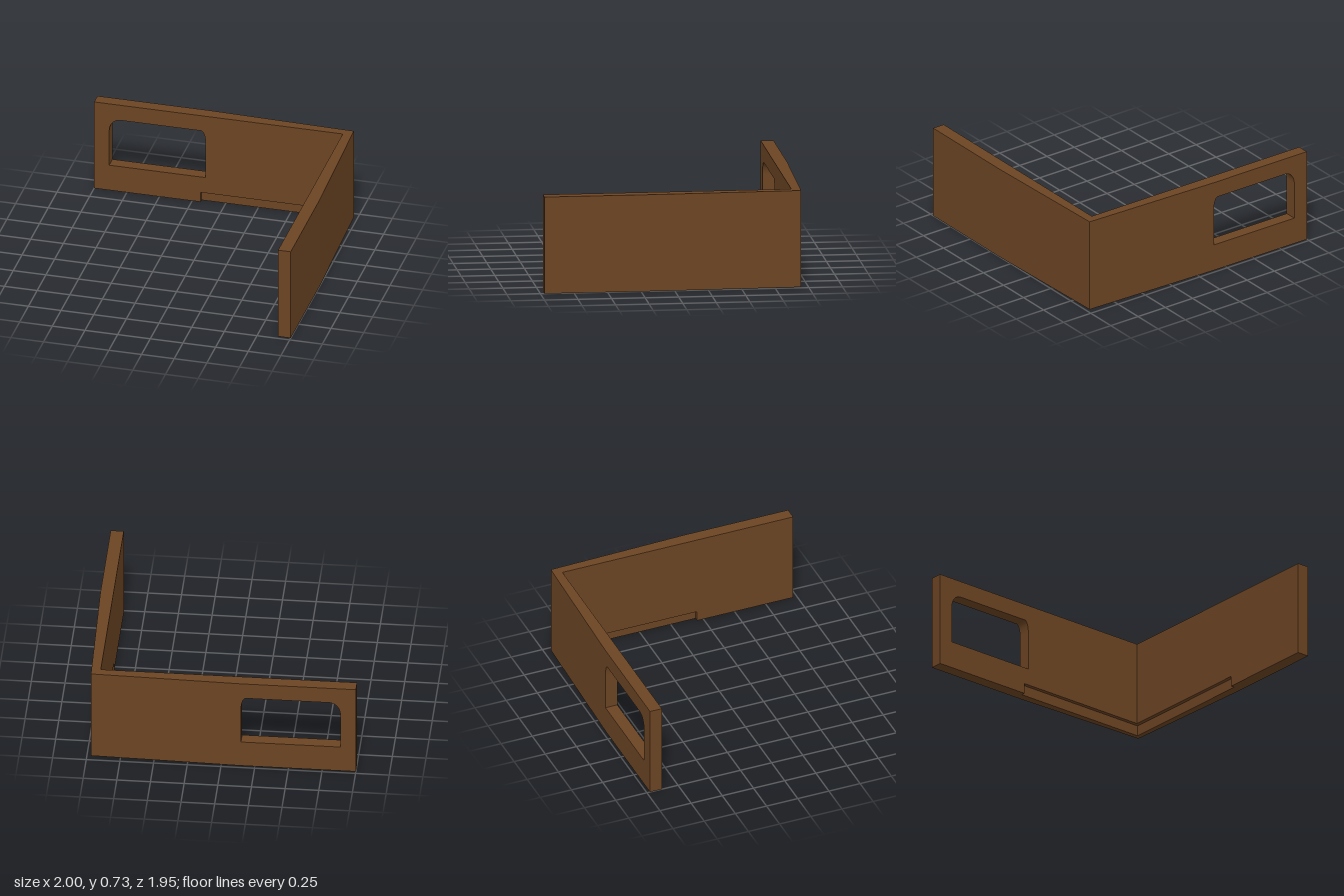
import * as THREE from 'three';

const HEIGHT = 0.727, BASE = 0.08;
const BACK = -0.975, INNER_Z = -0.88, INNER_X = 0.903, FRONT = 0.97;
const SPLIT = -0.14; // where the flat window panel meets the tapered corner
const RECESS = 0.03;

// Extrudes an outline of [x, z] points upward from y0 to y1.
function planExtrude(points, y0, y1) {
  const shape = new THREE.Shape(points.map(([x, z]) => new THREE.Vector2(x, -z)));
  const geometry = new THREE.ExtrudeGeometry(shape, { depth: y1 - y0, bevelEnabled: false });
  return geometry.rotateX(-Math.PI / 2).translate(0, y0, 0);
}

export function createModel() {
  const group = new THREE.Group();
  group.name = 'cornerWall';
  const brown = new THREE.MeshStandardMaterial({ color: 0x6b4423 });
  brown.name = 'brown';
  const add = (name, geometry) => {
    const mesh = new THREE.Mesh(geometry, brown);
    mesh.name = name;
    group.add(mesh);
  };

  // Outer faces lean inward toward the back corner
  const outer = [[SPLIT, BACK], [0.97, -0.945], [1, 0.14], [1, FRONT], [INNER_X, FRONT]];

  // Upper corner walls
  add('cornerWalls', planExtrude(
    [...outer, [INNER_X, INNER_Z], [SPLIT, INNER_Z]], BASE, HEIGHT));

  // Bottom band with a shallow floor recess around the inner corner
  add('recessedBase', planExtrude([
    [-1, BACK], ...outer,
    [INNER_X, 0.2], [INNER_X + RECESS, 0.2],
    [INNER_X + RECESS, INNER_Z - RECESS],
    [-0.185, INNER_Z - RECESS], [-0.185, INNER_Z], [-1, INNER_Z],
  ], 0, BASE));

  // Flat panel with a window that has two rounded upper corners
  const panel = new THREE.Shape();
  panel.moveTo(-1, BASE).lineTo(SPLIT, BASE).lineTo(SPLIT, HEIGHT).lineTo(-1, HEIGHT).closePath();
  const left = -0.885, right = -0.147, sill = 0.21, top = 0.6, ry = 0.1;
  const hole = new THREE.Path();
  hole.moveTo(left, sill);
  hole.lineTo(left, top - ry);
  hole.absellipse(left + 0.085, top - ry, 0.085, ry, Math.PI, Math.PI / 2, true);
  hole.lineTo(right - 0.035, top);
  hole.absellipse(right - 0.035, top - ry, 0.035, ry, Math.PI / 2, 0, true);
  hole.lineTo(right, sill);
  hole.closePath();
  panel.holes.push(hole);
  add('windowPanel', new THREE.ExtrudeGeometry(panel, {
    depth: INNER_Z - BACK, bevelEnabled: false, curveSegments: 8,
  }).translate(0, 0, BACK));

  return group;
}
